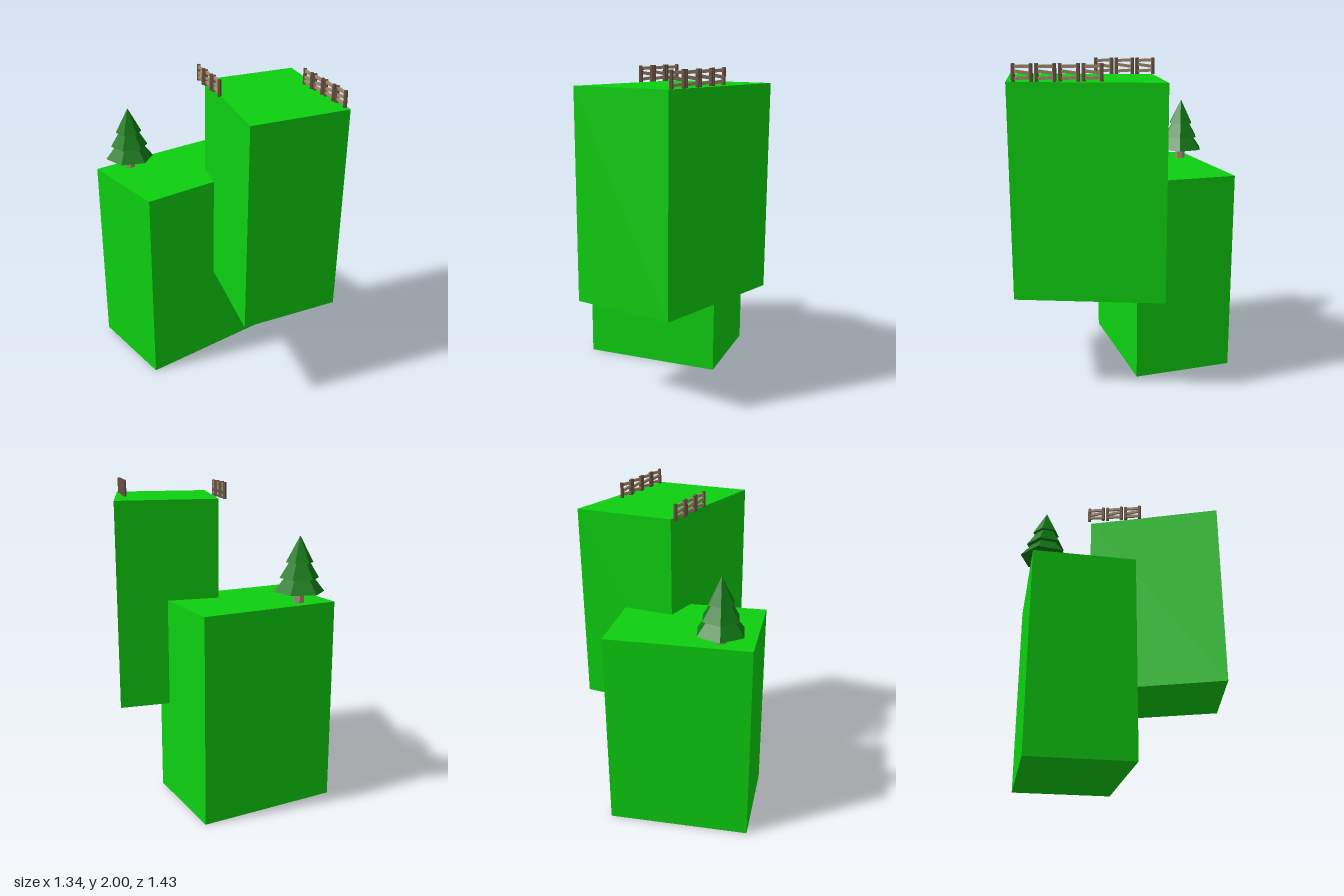
import * as THREE from 'three';

const grass = new THREE.MeshStandardMaterial({ name: 'grass green', color: 0x0dd010 });
const foliage = new THREE.MeshStandardMaterial({ name: 'foliage green', color: 0x107a14, flatShading: true });
const darkWood = new THREE.MeshStandardMaterial({ name: 'dark wood', color: 0x6b5344, flatShading: true });
const paleWood = new THREE.MeshStandardMaterial({ name: 'pale wood', color: 0xa58c70, flatShading: true });

function add(parent, name, geometry, material, x = 0, y = 0, z = 0) {
  const mesh = new THREE.Mesh(geometry, material);
  mesh.name = name;
  mesh.position.set(x, y, z);
  parent.add(mesh);
  return mesh;
}

// Upright prism over a ground outline of [x, z] corners
function prism(corners, y0, y1) {
  const shape = new THREE.Shape(corners.map(([x, z]) => new THREE.Vector2(x, -z)));
  const geometry = new THREE.ExtrudeGeometry(shape, { depth: y1 - y0, bevelEnabled: false });
  return geometry.rotateX(-Math.PI / 2).translate(0, y0, 0);
}

// Hexagonal tree: trunk and three stacked skirts
function makeTree() {
  const tree = new THREE.Group();
  tree.name = 'tree';
  add(tree, 'trunk', new THREE.CylinderGeometry(0.031, 0.034, 0.1, 6), paleWood, 0, 0.04, 0);
  const tiers = [
    [0.158, 0.08, 0.065, 0.165],
    [0.122, 0.055, 0.15, 0.26],
    [0.085, 0, 0.245, 0.405],
  ];
  tiers.forEach(([bottom, top, y0, y1], i) => {
    const skirt = new THREE.CylinderGeometry(top, bottom, y1 - y0, 6, 1, false, Math.PI / 6);
    add(tree, `foliageTier${i + 1}`, skirt, foliage, 0, (y0 + y1) / 2, 0);
  });
  return tree;
}

// One fence panel running along z: two posts and three crooked rails
function makePanel() {
  const panel = new THREE.Group();
  panel.name = 'fencePanel';
  for (const side of [-1, 1]) {
    add(panel, 'post', new THREE.CylinderGeometry(0.011, 0.012, 0.102, 6), darkWood, 0, 0.049, side * 0.05);
  }
  [[0.084, 0.03], [0.052, -0.14], [0.02, 0.06]].forEach(([y, tilt]) => {
    const rail = add(panel, 'rail', new THREE.BoxGeometry(0.013, 0.018, 0.108), paleWood, 0, y, 0);
    rail.rotation.x = tilt;
  });
  return panel;
}

// Row of panels stepping along z
function makeFence(name, count, x, z) {
  const fence = new THREE.Group();
  fence.name = name;
  for (let i = 0; i < count; i++) {
    const panel = makePanel();
    panel.position.set(x + i * 0.0147, 1.9, z + i * 0.1295);
    panel.rotation.y = 0.05;
    fence.add(panel);
  }
  return fence;
}

export function createModel() {
  const model = new THREE.Group();
  model.name = 'grassyCliffs';

  // Two overlapping cliff blocks
  add(model, 'lowerCliff', prism([[-0.67, -0.38], [-0.43, 0.215], [0.4, -0.125], [0.16, -0.72]], 0, 1.285), grass);
  add(model, 'upperCliff', prism([[0.028, -0.19], [0.038, 0.715], [0.667, 0.595], [0.657, -0.31]], 0.615, 1.9), grass);

  const tree = makeTree();
  tree.position.set(-0.447, 1.287, -0.373);
  model.add(tree);

  model.add(makeFence('rightFence', 3, -0.008, -0.142));
  model.add(makeFence('leftFence', 4, 0.602, 0.117));
  return model;
}
